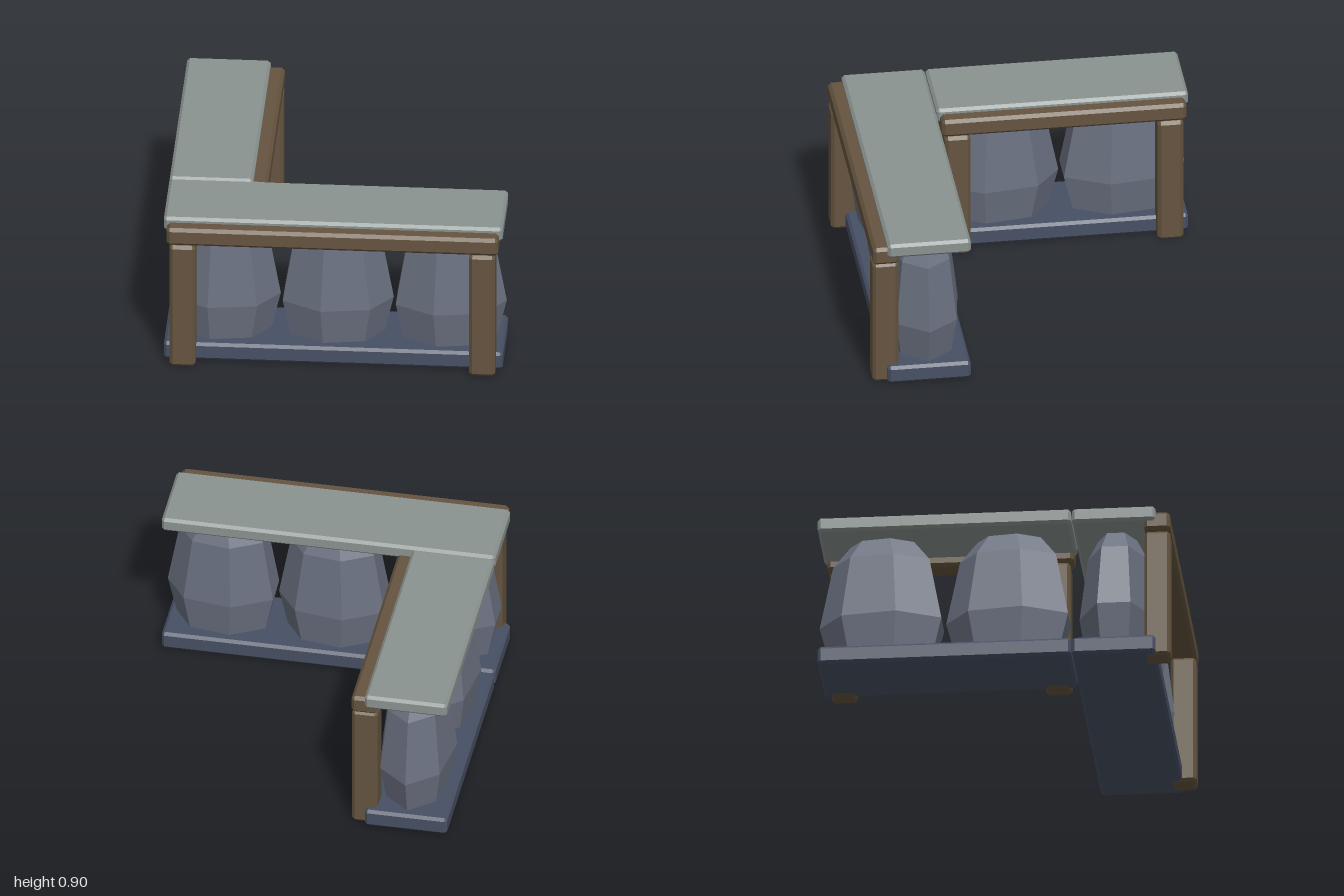
import * as THREE from 'three';
import { ConvexGeometry } from 'three/addons/geometries/ConvexGeometry.js';

const mat = (color) => new THREE.MeshStandardMaterial({ color, flatShading: true });
const wood = mat(0x65543f);
const capStone = mat(0x8a9390);
const baseStone = mat(0x475064);
const rockStone = mat(0x6a7080);

// Box with every edge cut flat by c
function chamferBox(w, h, d, c) {
  const points = [];
  for (const sx of [-1, 1]) for (const sy of [-1, 1]) for (const sz of [-1, 1]) {
    for (let full = 0; full < 3; full++) {
      const half = [w / 2, h / 2, d / 2].map((v, i) => (i === full ? v : v - c));
      points.push(new THREE.Vector3(sx * half[0], sy * half[1], sz * half[2]));
    }
  }
  return new ConvexGeometry(points);
}

function add(group, name, geometry, material, x, y, z) {
  const mesh = new THREE.Mesh(geometry, material);
  mesh.name = name;
  mesh.position.set(x, y, z);
  group.add(mesh);
  return mesh;
}

// Seven-sided boulder: radius factor and height, bottom to top
const rockProfile = [[0, 0.09], [0.83, 0.09], [1, 0.325], [0.79, 0.7], [0.52, 0.82], [0, 0.82]]
  .map(([r, y]) => new THREE.Vector2(r, y));

// One straight stretch of counter along x, with its timber face toward +z
function makeWing(name, length, rockCount) {
  const wing = new THREE.Group();
  wing.name = name;

  // Stone slabs
  add(wing, 'baseSlab', chamferBox(length, 0.105, 0.47, 0.016), baseStone, 0, 0.0575, 0);
  add(wing, 'topSlab', chamferBox(length, 0.085, 0.47, 0.016), capStone, 0, 0.8625, 0);

  // Timber beam on two posts
  add(wing, 'beam', chamferBox(length - 0.04, 0.107, 0.145, 0.018), wood, 0, 0.822, 0.2425);
  for (const side of [-1, 1]) {
    add(wing, 'post', chamferBox(0.146, 0.766, 0.146, 0.018), wood,
      side * (length / 2 - 0.11), 0.383, 0.2425);
  }

  // Row of boulders filling the space between the slabs
  const spacing = length / rockCount;
  for (let i = 0; i < rockCount; i++) {
    const rock = add(wing, 'boulder', new THREE.LatheGeometry(rockProfile, 7, Math.PI / 2),
      rockStone, (i - (rockCount - 1) / 2) * spacing, 0, 0);
    rock.scale.set(spacing * 0.512, 1, 0.217);
  }
  return wing;
}

export function createModel() {
  const model = new THREE.Group();
  model.name = 'cornerCounter';

  const front = makeWing('frontWing', 1.905, 3);
  front.position.set(-0.0075, 0, 0.68);

  const back = makeWing('backWing', 1.425, 2);
  back.rotation.y = Math.PI / 2;
  back.position.set(-0.725, 0, -0.2725);

  model.add(front, back);
  return model;
}
